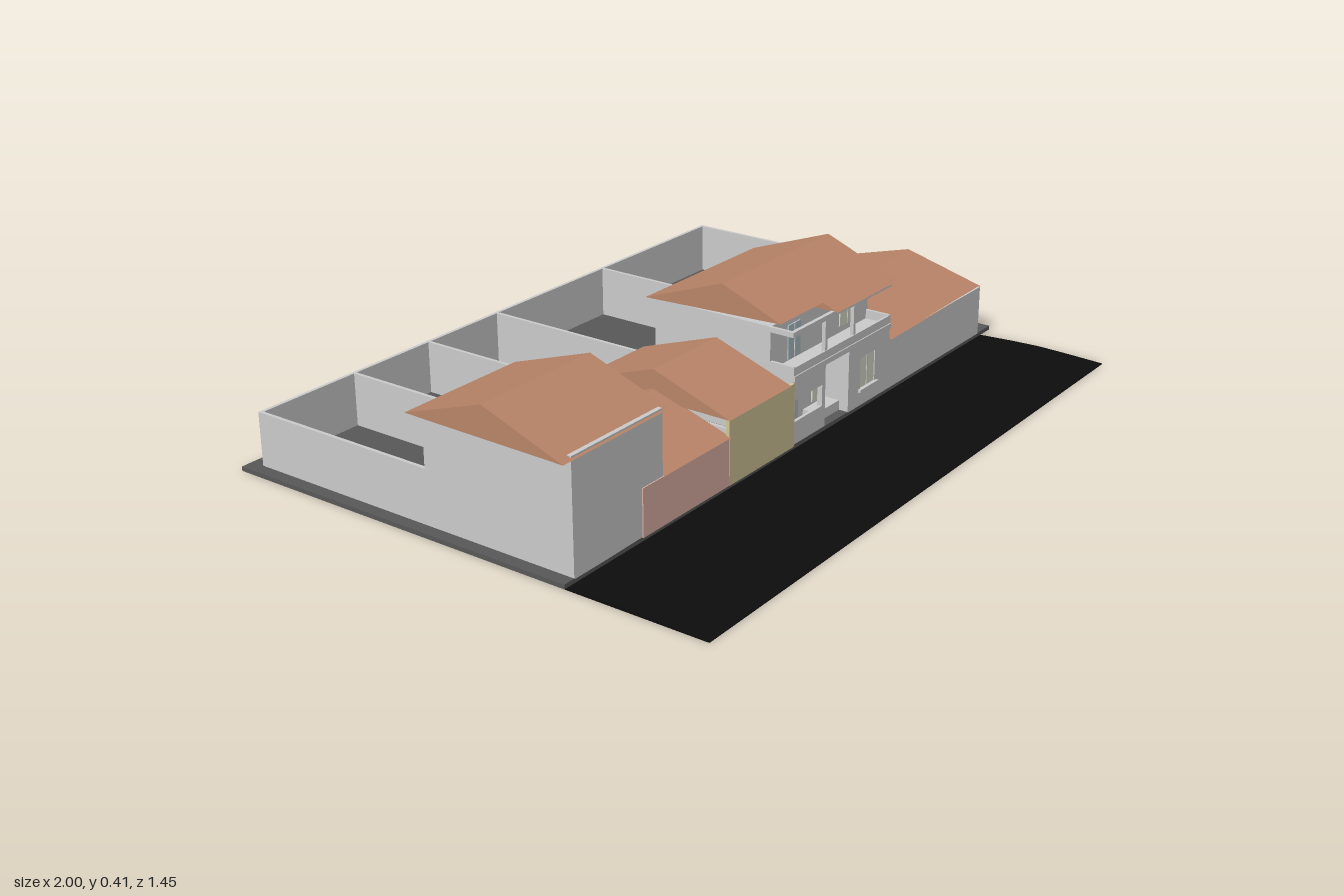
import * as THREE from 'three';

const mat = (color) => new THREE.MeshStandardMaterial({ color, side: THREE.DoubleSide, flatShading: true });

export function createModel() {
  const root = new THREE.Group();
  const grey = mat(0xcccccc), tile = mat(0xb98468), paving = mat(0x585858), asphalt = mat(0x0d0d0d);
  const pink = mat(0xdcb0a4), yellow = mat(0xd2c596), glass = mat(0xd8dccb), blueGlass = mat(0xa9bcc2);

  // box given by its limits on each axis
  const box = (name, [x0, x1], [y0, y1], [z0, z1], m = grey) => {
    const mesh = new THREE.Mesh(new THREE.BoxGeometry(x1 - x0, y1 - y0, z1 - z0), m);
    mesh.position.set((x0 + x1) / 2, (y0 + y1) / 2, (z0 + z1) / 2);
    mesh.name = name;
    root.add(mesh);
    return mesh;
  };

  // gable roof between two end sections, each { x, back, front, ridge }
  const roof = (name, a, b, eave, top, frontEave = eave) => {
    const pts = [];
    for (const s of [a, b]) pts.push(s.x, frontEave, s.front, s.x, top, s.ridge, s.x, eave, s.back);
    const g = new THREE.BufferGeometry();
    g.setAttribute('position', new THREE.Float32BufferAttribute(pts, 3));
    g.setIndex([0, 3, 4, 0, 4, 1, 1, 4, 5, 1, 5, 2, 2, 5, 3, 2, 3, 0, 0, 1, 2, 3, 5, 4]);
    const flat = g.toNonIndexed();
    flat.computeVertexNormals();
    const mesh = new THREE.Mesh(flat, tile);
    mesh.name = name;
    root.add(mesh);
  };
  const end = (x, back = -0.14, front = 0.335, ridge = 0.1) => ({ x, back, front, ridge });

  // wall panel facing the front with rectangular openings [x0, x1, y0, y1]
  const panel = (name, [x0, x1], [y0, y1], [z0, z1], openings) => {
    const rect = (P, a, b, c, d) => {
      const p = new P();
      p.moveTo(a, c); p.lineTo(b, c); p.lineTo(b, d); p.lineTo(a, d); p.closePath();
      return p;
    };
    const shape = rect(THREE.Shape, x0, x1, y0, y1);
    for (const o of openings) shape.holes.push(rect(THREE.Path, ...o));
    const mesh = new THREE.Mesh(new THREE.ExtrudeGeometry(shape, { depth: z1 - z0, bevelEnabled: false }), grey);
    mesh.position.z = z0;
    mesh.name = name;
    root.add(mesh);
  };

  const windowPane = (name, [x0, x1], [y0, y1], z, m = glass) => {
    box(name, [x0, x1], [y0, y1], [z - 0.002, z + 0.002], m);
    const xm = (x0 + x1) / 2;
    box(name + 'Mullion', [xm - 0.002, xm + 0.002], [y0, y1], [z - 0.003, z + 0.004]);
  };

  // plot slab and slightly cambered road
  box('plotSlab', [-1, 1], [0, 0.012], [-0.73, 0.328], paving);
  const camber = new THREE.Shape();
  camber.moveTo(-0.725, 0);
  for (const [z, y] of [[-0.725, 0.002], [-0.6, 0.007], [-0.52, 0.009], [-0.44, 0.007], [-0.33, 0.002], [-0.33, 0]])
    camber.lineTo(z, y);
  const road = new THREE.Mesh(new THREE.ExtrudeGeometry(camber, { depth: 1.94, bevelEnabled: false }), asphalt);
  road.rotation.y = Math.PI / 2;
  road.position.x = -1;
  road.name = 'road';
  root.add(road);

  // yard walls
  const t = 0.005, yardTop = 0.16, yard = [0.01, yardTop];
  box('yardBackWall', [-0.965, 0.925], yard, [-0.69, -0.68]);
  for (const x of [-0.96, -0.64, -0.36, -0.08, 0.4, 0.92])
    box('yardDividingWall', [x - t, x + t], yard, [-0.685, -0.1]);

  // tall house at the far end
  box('endHouse', [-0.965, -0.635], [0.01, 0.312], [-0.12, 0.328]);
  roof('endHouseRoof', end(-1), end(-0.615), 0.31, 0.39, 0.305);

  // two low houses, open to their yards
  box('pinkFront', [-0.715, -0.37], [0.01, 0.138], [0.322, 0.331], pink);
  roof('pinkHouseRoof', end(-0.635), end(-0.365), 0.14, 0.215);
  box('yellowFront', [-0.37, -0.08], [0.01, 0.187], [0.322, 0.332], yellow);
  roof('yellowHouseRoof', end(-0.372), end(-0.1), 0.187, 0.268);
  box('lowHouseSideWall', [-0.365, -0.355], [0.01, 0.16], [-0.12, 0.325]);

  // long house on the other side, slightly skewed roof
  box('longHouse', [0.4, 0.925], [0.01, 0.158], [-0.13, 0.328]);
  roof('longHouseRoof', end(0.4, -0.145), end(0.935, -0.17, 0.325, 0.075), 0.157, 0.224);

  // main house body, upper floor set back behind a balcony
  box('mainHouse', [-0.08, 0.4], [0.01, 0.325], [-0.115, 0.255]);
  box('houseSideWall', [0.392, 0.4], [0.01, 0.23], [0.25, 0.328]);
  box('houseSideWall', [-0.08, -0.072], [0.01, 0.23], [0.25, 0.328]);
  panel('groundFloorFront', [0.19, 0.4], [0.01, 0.2], [0.32, 0.328], [[0.25, 0.325, 0.06, 0.15]]);
  windowPane('groundFloorWindow', [0.25, 0.325], [0.06, 0.15], 0.323);
  box('roomSideWall', [0.19, 0.198], [0.01, 0.2], [0.25, 0.325]);
  box('windowSill', [0.24, 0.335], [0.052, 0.06], [0.32, 0.336]);

  // porch
  box('porchWall', [-0.075, 0.06], [0.01, 0.075], [0.318, 0.327]);
  box('porchColumn', [0.06, 0.075], [0.01, 0.2], [0.312, 0.327]);
  box('porchDoor', [0.0, 0.05], [0.012, 0.13], [0.254, 0.259], blueGlass);
  windowPane('porchWindow', [0.115, 0.175], [0.05, 0.125], 0.26);
  box('porchStep', [0.08, 0.19], [0.01, 0.04], [0.255, 0.3]);
  box('porchPanel', [-0.075, 0.06], [0.135, 0.2], [0.318, 0.327]);

  // balcony
  box('balconyFloor', [-0.08, 0.4], [0.19, 0.205], [0.25, 0.332]);
  box('balconyParapet', [-0.08, 0.4], [0.205, 0.228], [0.322, 0.329]);
  windowPane('balconyDoor', [-0.002, 0.055], [0.21, 0.305], 0.258, blueGlass);
  windowPane('upperWindow', [0.25, 0.325], [0.225, 0.305], 0.258);
  for (const x of [0.075, 0.215])
    box('balconyPost', [x - 0.005, x + 0.005], [0.2, 0.32], [0.316, 0.327]);
  box('eaveBeam', [-0.085, 0.4], [0.312, 0.326], [0.318, 0.329]);
  box('eaveBeam', [-0.085, -0.075], [0.312, 0.326], [0.25, 0.329]);

  // main roof, its front edge cut short over the balcony door
  const slope = (z) => 0.415 - (z - 0.11) * 0.4;
  roof('mainRoof', end(0.11, -0.14, 0.338, 0.11), end(0.42, -0.14, 0.338, 0.11), 0.325, 0.415, slope(0.338));
  roof('mainRoofShortPart', end(-0.09, -0.14, 0.292, 0.11), end(0.11, -0.14, 0.292, 0.11), 0.325, 0.415, slope(0.292));

  return root;
}
